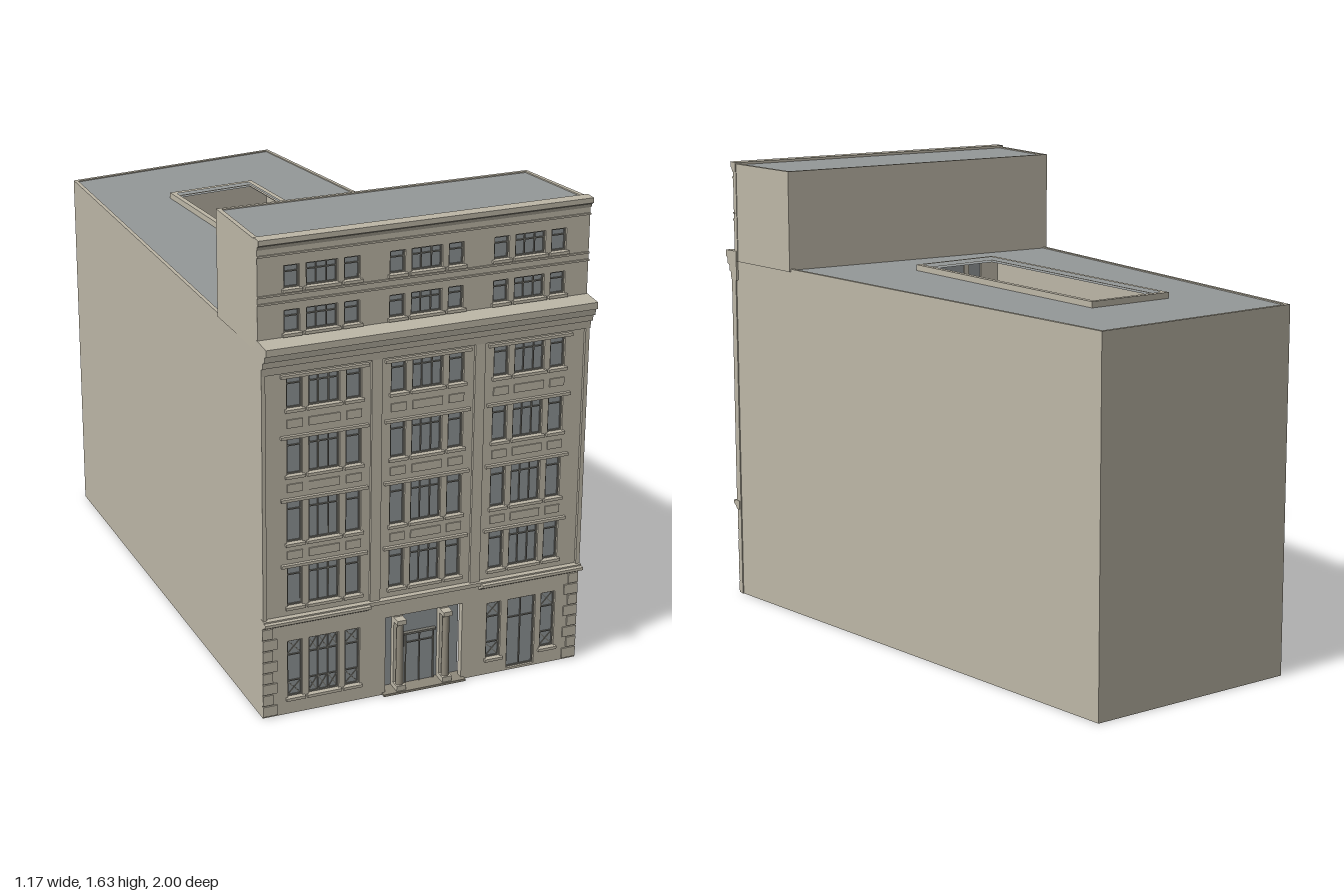
import * as THREE from 'three';
import { mergeGeometries } from 'three/addons/utils/BufferGeometryUtils.js';

const material = (name, color) => {
  const m = new THREE.MeshStandardMaterial({ color });
  m.name = name;
  return m;
};

export function createModel() {
  const stone = material('stone', 0xbdb7a7);
  const roofing = material('roofing', 0x949898);
  const glass = material('glass', 0x8f9496);
  const frame = material('frame', 0x77766e);
  const columnStone = material('columnStone', 0x8f897b);

  // Geometries are gathered by part name, then merged into one mesh per part
  const parts = new Map();
  const add = (name, mat, geo, matrix) => {
    const g = geo.index ? geo.toNonIndexed() : geo;
    if (matrix) g.applyMatrix4(matrix);
    if (!parts.has(name)) parts.set(name, { mat, list: [] });
    parts.get(name).list.push(g);
  };
  const box = (name, mat, x0, x1, y0, y1, z0, z1, matrix) => add(name, mat,
    new THREE.BoxGeometry(x1 - x0, y1 - y0, z1 - z0)
      .translate((x0 + x1) / 2, (y0 + y1) / 2, (z0 + z1) / 2), matrix);
  const at = (x, y, z) => new THREE.Matrix4().makeTranslation(x, y, z);

  // Extrudes a plan outline of [x, z] points from y0 to y1
  const plan = (name, mat, pts, y0, y1, hole) => {
    const vec = (list) => list.map(([x, z]) => new THREE.Vector2(x, -z));
    const shape = new THREE.Shape(vec(pts));
    if (hole) shape.holes.push(new THREE.Path(vec(hole)));
    add(name, mat, new THREE.ExtrudeGeometry(shape, { depth: y1 - y0, bevelEnabled: false })
      .rotateX(-Math.PI / 2).translate(0, y0, 0));
  };
  // Runs a [z, y] profile along x
  const moulding = (name, pts, x0, x1) => {
    const shape = new THREE.Shape(pts.map(([z, y]) => new THREE.Vector2(z, y)));
    add(name, stone, new THREE.ExtrudeGeometry(shape, { depth: x1 - x0, bevelEnabled: false })
      .rotateY(-Math.PI / 2).translate(x1, 0, 0));
  };
  // Upright wall with rectangular [x0, x1, y0, y1] openings
  const facade = (name, x0, x1, y0, y1, z0, z1, openings) => {
    const rect = (C, a, b, c, d) => new C([[a, c], [b, c], [b, d], [a, d]].map((p) => new THREE.Vector2(...p)));
    const shape = rect(THREE.Shape, x0, x1, y0, y1);
    openings.forEach((o) => shape.holes.push(rect(THREE.Path, ...o)));
    add(name, stone, new THREE.ExtrudeGeometry(shape, { depth: z1 - z0, bevelEnabled: false }).translate(0, 0, z0));
  };

  // Window centred on the matrix origin, facing local +z
  const glazing = (name, w, h, m, { mullions = 0, transom = 0, braced = false } = {}) => {
    const a = w / 2, b = h / 2, t = 0.005;
    const bar = (x0, x1, y0, y1) => box(name + 'Frames', frame, x0, x1, y0, y1, 0, 0.007, m);
    box(name + 'Glass', glass, -a, a, -b, b, -0.004, 0.003, m);
    for (const s of [-1, 1]) {
      bar(s * (a - t / 2) - t / 2, s * (a - t / 2) + t / 2, -b, b);
      bar(-a, a, s * (b - t / 2) - t / 2, s * (b - t / 2) + t / 2);
    }
    for (let i = 1; i <= mullions; i++) {
      const x = -a + w * i / (mullions + 1);
      bar(x - 0.002, x + 0.002, -b, b);
    }
    if (transom) bar(-a, a, -b + h * transom - 0.002, -b + h * transom + 0.002);
    // Crossed bars in the top and bottom panes
    if (braced) {
      const n = mullions + 1, pw = w / n, ph = 0.055;
      for (let i = 0; i < n; i++) for (const s of [-1, 1]) {
        const x = -a + pw * (i + 0.5), y = s * (b - ph / 2);
        bar(x - pw / 2, x + pw / 2, s * (b - ph) - 0.002, s * (b - ph) + 0.002);
        for (const k of [-1, 1]) add(name + 'Frames', frame,
          new THREE.BoxGeometry(Math.hypot(pw, ph), 0.003, 0.005)
            .rotateZ(k * Math.atan2(ph, pw)).translate(x, y, 0.003), m);
      }
    }
  };

  // Perimeter walls, parapets and roofs
  const inner = [[-0.538, 0.93], [-0.573, -0.89], [0.202, -0.987], [0.563, 0.93]];
  plan('perimeterWalls', stone, [[-0.55, 0.93], [-0.587, -0.902], [0.212, -1], [0.576, 0.93], ...inner.slice().reverse()], 0, 1.28);
  const court = [[-0.3, -0.567], [-0.015, -0.595], [0.105, 0.348], [-0.195, 0.38]];
  const rim = [[-0.32, -0.585], [0.002, -0.613], [0.125, 0.363], [-0.212, 0.4]];
  const courtOuter = [[-0.311, -0.576], [-0.006, -0.605], [0.116, 0.356], [-0.204, 0.39]];
  plan('mainRoof', roofing, inner, 1.262, 1.276, courtOuter);

  // Upper storeys at the front
  const upperInner = [[-0.535, 0.91], [-0.545, 0.602], [0.507, 0.602], [0.563, 0.91]];
  plan('upperWalls', stone, [[-0.55, 0.91], [-0.56, 0.59], [0.517, 0.59], [0.578, 0.91], ...upperInner.slice().reverse()], 1.27, 1.63);
  plan('upperRoof', roofing, upperInner, 1.612, 1.626);

  // Courtyard shaft, rim and floor
  plan('courtyardWalls', stone, courtOuter, 0, 1.285, court);
  plan('courtyardRim', stone, rim, 1.27, 1.297, court);
  plan('courtyardFloor', stone, courtOuter, 0, 0.008);

  const floors = [[0.39, 0.53], [0.615, 0.76], [0.85, 0.975], [1.075, 1.18]];
  court.forEach((p, i) => {
    const q = court[(i + 1) % 4];
    const dx = q[0] - p[0], dz = q[1] - p[1];
    const yaw = Math.atan2(-dz, dx);
    const spots = i % 2 ? [0.08, 0.16, 0.33, 0.41, 0.59, 0.67, 0.84, 0.92] : [0.17, 0.37, 0.63, 0.83];
    for (const [y0, y1] of [[0.1, 0.25], ...floors]) for (const t of spots) {
      const m = at(p[0] + dx * t, (y0 + y1) / 2, p[1] + dz * t).multiply(new THREE.Matrix4().makeRotationY(yaw));
      const h = y1 - y0 + 0.02;
      glazing('courtyardWindow', 0.045, h, m, { transom: 0.55 });
      box('courtyardSills', stone, -0.028, 0.028, -h / 2 - 0.01, -h / 2, -0.003, 0.013, m);
    }
  });

  // Front window layout: three bays, each with a wide window between two narrow ones
  const bays = [-0.337, 0.015, 0.371];
  const trio = [[-0.1, 0.052], [0, 0.105], [0.1, 0.052]];
  const lowerOpenings = [], upperOpenings = [];
  const windowRow = (c, y0, y1, z, list, options) => trio.forEach(([dx, w], i) => {
    list.push([c + dx - w / 2, c + dx + w / 2, y0, y1]);
    glazing('frontWindow', w, y1 - y0, at(c + dx, (y0 + y1) / 2, z), { mullions: i === 1 ? 2 : 0, ...options });
    box('windowSills', stone, c + dx - w / 2 - 0.007, c + dx + w / 2 + 0.007, y0 - 0.01, y0, z, z + 0.026);
  });
  for (const c of bays) {
    for (const [y0, y1] of floors) {
      windowRow(c, y0, y1, 0.93, lowerOpenings, { transom: 0.78 });
      box('windowLintels', stone, c - 0.148, c + 0.148, y1 + 0.001, y1 + 0.011, 0.94, 0.956);
    }
    for (const [y0, y1] of [[1.32, 1.395], [1.465, 1.54]])
      windowRow(c, y0, y1, 0.91, upperOpenings, { transom: 0.7 });
    // Raised panels between storeys
    for (const y of [0.572, 0.805, 1.025]) for (const [dx, w] of trio)
      box('spandrelPanels', stone, c + dx - w / 2, c + dx + w / 2, y - 0.014, y + 0.014, 0.94, 0.949);
  }

  // Ground floor windows and side door
  windowRow(bays[0], 0.06, 0.265, 0.93, lowerOpenings, { braced: true });
  for (const dx of [-0.1, 0.1]) {
    const c = bays[2] + dx;
    lowerOpenings.push([c - 0.026, c + 0.026, 0.06, 0.265]);
    glazing('frontWindow', 0.052, 0.205, at(c, 0.1625, 0.93), { braced: true });
    box('windowSills', stone, c - 0.033, c + 0.033, 0.05, 0.06, 0.93, 0.956);
  }
  lowerOpenings.push([0.322, 0.424, 0.008, 0.265]);
  glazing('sideDoor', 0.102, 0.257, at(0.373, 0.1365, 0.93), { mullions: 1, transom: 0.72 });

  // Entrance recess, piers, columns and door
  lowerOpenings.push([-0.12, 0.155, 0.004, 0.283]);
  box('entranceBack', glass, -0.125, 0.16, 0, 0.29, 0.895, 0.902);
  glazing('entranceDoor', 0.105, 0.19, at(0.0175, 0.097, 0.905), { mullions: 1, transom: 0.82 });
  box('entranceDoorHead', frame, -0.04, 0.075, 0.188, 0.195, 0.902, 0.916);
  box('entranceStep', columnStone, -0.13, 0.165, 0, 0.008, 0.9, 0.962);
  for (const x of [-0.065, 0.1]) {
    box('entrancePiers', stone, x - 0.016, x + 0.016, 0.004, 0.285, 0.902, 0.922);
    add('entranceColumns', columnStone, new THREE.CylinderGeometry(0.011, 0.013, 0.225, 16), at(x, 0.138, 0.938));
    box('columnBases', stone, x - 0.017, x + 0.017, 0.008, 0.026, 0.92, 0.956);
    box('columnCapitals', stone, x - 0.016, x + 0.016, 0.25, 0.266, 0.92, 0.954);
  }

  facade('frontWall', -0.55, 0.578, 0, 1.28, 0.92, 0.945, lowerOpenings);
  facade('upperFrontWall', -0.55, 0.578, 1.27, 1.625, 0.9, 0.925, upperOpenings);

  // Pilasters between the bays
  for (const [x0, x1] of [[-0.55, -0.537], [-0.18, -0.145], [0.175, 0.21], [0.564, 0.578]])
    box('pilasters', stone, x0, x1, 0.34, 1.21, 0.94, 0.955);
  // Corner blocks at street level
  for (let i = 0; i < 8; i++) {
    const y = 0.006 + i * 0.04, w = i % 2 ? 0.035 : 0.05;
    box('cornerBlocks', stone, -0.55, -0.55 + w, y, y + 0.036, 0.94, 0.95);
    box('cornerBlocks', stone, 0.578 - w, 0.578, y, y + 0.036, 0.94, 0.95);
  }

  // Cornices and string courses
  moulding('mainCornice', [[0.91, 1.2], [0.956, 1.2], [0.958, 1.225], [0.97, 1.23], [0.972, 1.25],
    [0.985, 1.255], [0.988, 1.275], [1, 1.28], [1, 1.303], [0.91, 1.308]], -0.551, 0.58);
  moulding('topCornice', [[0.9, 1.6], [0.928, 1.6], [0.932, 1.612], [0.942, 1.618], [0.942, 1.635], [0.9, 1.635]], -0.551, 0.58);
  box('streetBelt', stone, -0.551, 0.58, 0.345, 0.358, 0.93, 0.965);
  for (const [x0, x1] of [[-0.551, -0.185], [0.212, 0.58]])
    moulding('streetBeltMoulding', [[0.93, 0.325], [0.95, 0.325], [0.965, 0.338], [0.98, 0.343], [0.98, 0.353], [0.93, 0.353]], x0, x1);
  for (const y of [1.42, 1.445, 1.575])
    box('stringCourses', stone, -0.55, 0.579, y, y + 0.006, 0.915, 0.93);

  const model = new THREE.Group();
  model.name = 'officeBuilding';
  for (const [name, { mat, list }] of parts) {
    const mesh = new THREE.Mesh(mergeGeometries(list), mat);
    mesh.name = name;
    model.add(mesh);
  }
  return model;
}
